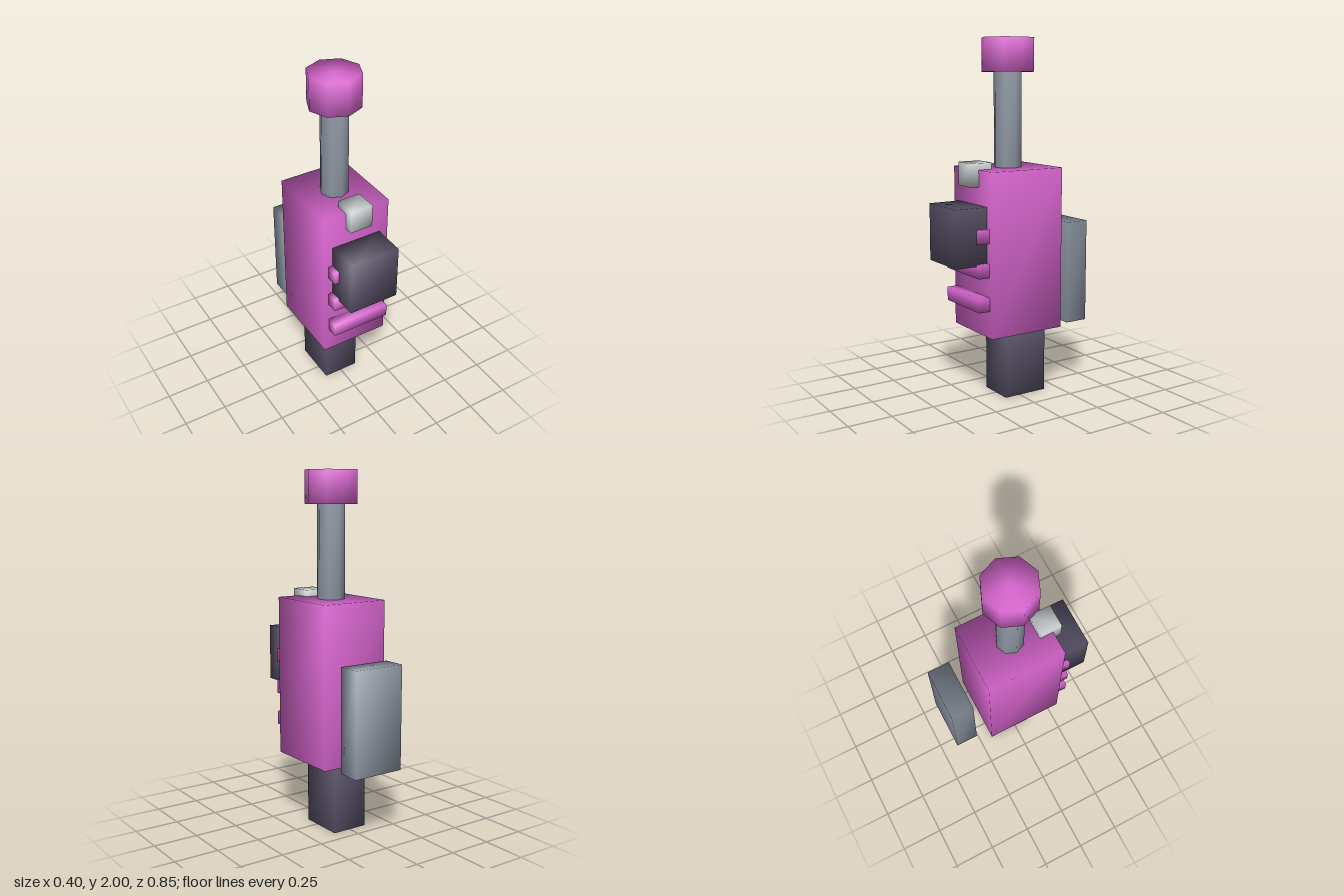
import * as THREE from 'three';
import { mergeVertices } from 'three/addons/utils/BufferGeometryUtils.js';

const material = (name, color) => {
  const m = new THREE.MeshStandardMaterial({ color });
  m.name = name;
  return m;
};

// Weld all corners so the normals run smoothly around the edges
function weld(geometry) {
  geometry.deleteAttribute('normal');
  geometry.deleteAttribute('uv');
  const welded = mergeVertices(geometry, 1e-4);
  welded.computeVertexNormals();
  return welded;
}

export function createModel() {
  const group = new THREE.Group();
  const magenta = material('magenta', 0xd966d0);
  const grey = material('steel grey', 0x8f98a5);
  const dark = material('dark violet', 0x575066);
  const pale = material('pale grey', 0xd0d5d5);

  const add = (name, geometry, mat, x, y, z) => {
    const mesh = new THREE.Mesh(weld(geometry), mat);
    mesh.name = name;
    mesh.position.set(x, y, z);
    group.add(mesh);
  };
  // Box centred on x = 0, given by its half width and its y and z ranges
  const box = (name, mat, half, y0, y1, z0, z1) =>
    add(name, new THREE.BoxGeometry(half * 2, y1 - y0, z1 - z0), mat, 0, (y0 + y1) / 2, (z0 + z1) / 2);
  // Eight-sided upright post
  const post = (name, mat, r, y0, y1, z) =>
    add(name, new THREE.CylinderGeometry(r, r, y1 - y0, 8), mat, 0, (y0 + y1) / 2, z);

  // Handset body and lower grip
  box('body', magenta, 0.2, 0.39, 1.297, -0.214, 0.24);
  box('grip', dark, 0.105, 0, 0.39, -0.17, 0.093);

  // Antenna and its knob
  post('antenna', grey, 0.078, 1.297, 1.816, 0.013);
  post('antennaKnob', magenta, 0.146, 1.816, 2, 0.012);

  // Front panel, ribs and top button
  box('frontPanel', dark, 0.147, 0.79, 1.107, 0.24, 0.427);
  for (const y of [0.578, 0.764, 0.951]) box('rib', magenta, 0.173, y - 0.038, y + 0.038, 0.24, 0.306);
  box('topButton', pale, 0.066, 1.205, 1.334, 0.16, 0.29);

  // Separate pack behind the body
  box('backPack', grey, 0.153, 0.39, 0.976, -0.427, -0.294);

  return group;
}
